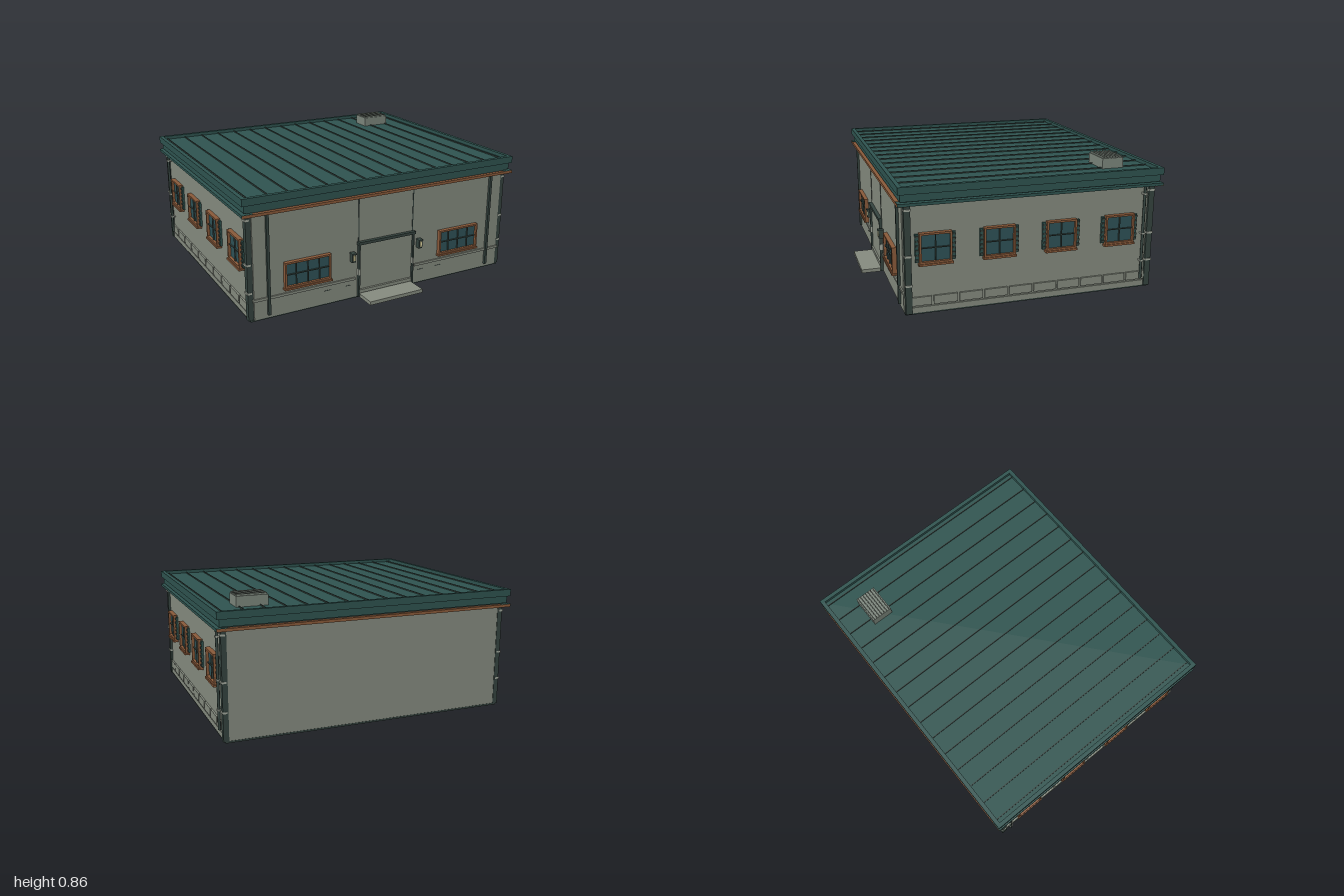
import * as THREE from 'three';

const mat = (color) => new THREE.MeshStandardMaterial({ color });
const M = {
  wall: mat(0x868c80), teal: mat(0x2f5450), dark: mat(0x35443f), copper: mat(0x8a5a3a),
  glass: mat(0x2f5358), pale: mat(0xa4aa9e), lamp: mat(0xeadfa8), vent: mat(0x7d877d),
};

// Box from its extents: [x0, x1], [y0, y1], [z0, z1]; order within a pair is free
function box(parent, name, m, x, y, z) {
  const size = [x, y, z].map(([a, b]) => Math.abs(b - a));
  const mesh = new THREE.Mesh(new THREE.BoxGeometry(...size), m);
  mesh.position.set(...[x, y, z].map(([a, b]) => (a + b) / 2));
  mesh.name = name;
  parent.add(mesh);
  return mesh;
}

function group(parent, name) {
  const g = new THREE.Group();
  g.name = name;
  parent.add(g);
  return g;
}

// Rectangular frame in the local XY plane, centred on the origin
function frame(parent, name, m, w, h, t, z) {
  for (const s of [-1, 1]) {
    box(parent, name, m, [s * w / 2, s * (w / 2 - t)], [-h / 2, h / 2], z);
    box(parent, name, m, [-w / 2 + t, w / 2 - t], [s * h / 2, s * (h / 2 - t)], z);
  }
}

// Window facing +z in its own space
function makeWindow(name, w, h, cols, depth) {
  const g = new THREE.Group();
  g.name = name;
  box(g, 'glass', M.glass, [-w / 2 + 0.01, w / 2 - 0.01], [-h / 2 + 0.01, h / 2 - 0.01], [-0.005, depth * 0.4]);
  frame(g, 'windowFrame', M.copper, w, h, 0.012, [0, depth]);
  for (let i = 1; i < cols; i++) {
    const x = -w / 2 + w * i / cols;
    box(g, 'mullion', M.dark, [x - 0.003, x + 0.003], [-h / 2 + 0.012, h / 2 - 0.012], [0, depth * 0.7]);
  }
  box(g, 'crossbar', M.dark, [-w / 2 + 0.012, w / 2 - 0.012], [-0.003, 0.003], [0, depth * 0.7]);
  box(g, 'sill', M.copper, [-w / 2 - 0.006, w / 2 + 0.006], [-h / 2 - 0.012, -h / 2], [0, depth + 0.006]);
  return g;
}

// Slatted shutter beside a side window
function addShutter(parent, x, h) {
  const g = group(parent, 'shutter');
  box(g, 'shutterPanel', M.teal, [x - 0.011, x + 0.011], [-h / 2, h / 2], [0, 0.012]);
  for (let i = 0; i < 6; i++) {
    const y = -h / 2 + h * (i + 0.5) / 6;
    box(g, 'shutterSlat', M.dark, [x - 0.011, x + 0.011], [y - 0.006, y + 0.006], [0.012, 0.018]);
  }
}

function addFront(root) {
  const g = group(root, 'front');
  box(g, 'facade', M.wall, [-0.93, 0.93], [0.01, 0.7], [0.75, 0.765]);
  box(g, 'door', M.wall, [-0.2, 0.2], [0.06, 0.375], [0.76, 0.771]);
  box(g, 'threshold', M.wall, [-0.2, 0.2], [0.035, 0.058], [0.76, 0.782]);
  box(g, 'lintel', M.dark, [-0.218, 0.218], [0.374, 0.393], [0.76, 0.79]);
  box(g, 'step', M.wall, [-0.2, 0.2], [0.006, 0.03], [0.75, 0.915]);

  for (const s of [-1, 1]) {
    box(g, 'doorJamb', M.dark, [s * 0.2, s * 0.212], [0.012, 0.375], [0.76, 0.785]);
    box(g, 'doorHinge', M.pale, [s * 0.2, s * 0.214], [0.165, 0.205], [0.76, 0.787]);
    box(g, 'panelSeam', M.dark, [s * 0.202, s * 0.208], [0.393, 0.69], [0.76, 0.768]);
    box(g, 'wallPilaster', M.dark, [s * 0.826, s * 0.844], [0.03, 0.69], [0.76, 0.782]);
    box(g, 'wallBand', M.wall, [s * 0.23, s * 0.94], [0.133, 0.15], [0.76, 0.774]);
    box(g, 'lowerSeam', M.dark, [s * 0.26, s * 0.3], [0.098, 0.101], [0.76, 0.767]);
    box(g, 'lowerSeam', M.dark, [s * 0.4, s * 0.45], [0.098, 0.101], [0.76, 0.767]);

    const win = makeWindow('frontWindow', 0.318, 0.17, 4, 0.028);
    win.position.set(s * 0.573, 0.273, 0.765);
    g.add(win);

    // Wall lamp beside the door
    const lamp = group(g, 'wallLamp');
    box(lamp, 'lampHousing', M.dark, [s * 0.241, s * 0.268], [0.268, 0.328], [0.76, 0.798]);
    box(lamp, 'lampGlow', M.lamp, [s * 0.249, s * 0.26], [0.28, 0.316], [0.79, 0.803]);
    box(lamp, 'lampCap', M.dark, [s * 0.238, s * 0.271], [0.322, 0.33], [0.76, 0.804]);
  }
}

function addSide(root, s) {
  const g = group(root, s > 0 ? 'leftSide' : 'rightSide');
  box(g, 'baseboard', M.wall, [s * 0.94, s * 0.958], [0.01, 0.045], [-0.85, 0.74]);
  for (let i = 0; i < 10; i++) {
    const z = 0.745 - i * 0.161;
    box(g, 'skirtPanel', M.wall, [s * 0.94, s * 0.962], [0.056, 0.11], [z - 0.148, z]);
  }

  for (const z of [0.57, 0.17, -0.235, -0.635]) {
    const win = makeWindow('sideWindow', 0.2, 0.19, 2, 0.03);
    addShutter(win, -0.113, 0.175);
    addShutter(win, 0.113, 0.175);
    win.position.set(s * 0.95, 0.42, z);
    win.rotation.y = s * Math.PI / 2;
    g.add(win);
  }

  // Corner posts with clamps
  for (const [z0, z1] of [[0.718, 0.758], [-0.873, -0.833]]) {
    box(g, 'cornerPost', M.dark, [s * 0.932, s * 0.966], [0.008, 0.71], [z0, z1]);
    for (const y of [0.19, 0.375, 0.66])
      box(g, 'postClamp', M.pale, [s * 0.94, s * 0.972], [y - 0.006, y + 0.006], [z0 - 0.002, z1 + 0.002]);
  }

  // Drainpipe
  const pipe = new THREE.Mesh(new THREE.CylinderGeometry(0.009, 0.009, 0.63, 10), M.dark);
  pipe.name = 'drainpipe';
  pipe.position.set(s * 0.972, 0.38, -0.802);
  g.add(pipe);
  for (const y of [0.19, 0.375, 0.64])
    box(g, 'pipeBracket', M.pale, [s * 0.94, s * 0.984], [y - 0.005, y + 0.005], [-0.815, -0.789]);
}

function addRoof(root) {
  const g = group(root, 'roof');
  const zb = -0.915, zf = 0.795;
  box(g, 'roofSlab', M.teal, [-0.98, 0.98], [0.715, 0.785], [zb + 0.015, zf - 0.015]);

  // Raised edge and eave trim
  for (const s of [-1, 1]) {
    box(g, 'sideParapet', M.teal, [s * 0.97, s * 0.997], [0.762, 0.808], [zb, zf]);
    box(g, 'sideEaveTrim', M.teal, [s * 0.93, s], [0.692, 0.71], [zb, zf + 0.003]);
    const [z0, z1] = s > 0 ? [zf - 0.027, zf] : [zb, zb + 0.027];
    box(g, 'endParapet', M.teal, [-0.97, 0.97], [0.762, 0.808], [z0, z1]);
    const [t0, t1] = s > 0 ? [0.74, zf + 0.005] : [zb - 0.002, -0.86];
    box(g, 'endEaveTrim', M.copper, [-0.998, 0.998], [0.69, 0.708], [t0, t1]);
  }
  box(g, 'soffit', M.dark, [-0.965, 0.965], [0.698, 0.72], [-0.89, 0.775]);

  // Standing seams
  for (let k = -7; k <= 7; k++)
    box(g, 'roofSeam', M.dark, [k * 0.1345 - 0.003, k * 0.1345 + 0.003], [0.78, 0.793], [zb + 0.027, zf - 0.027]);

  // Roof vent with slats
  const vent = group(g, 'roofVent');
  box(vent, 'ventBody', M.vent, [0.622, 0.825], [0.78, 0.852], [-0.713, -0.568]);
  for (let i = 0; i < 7; i++) {
    const z = -0.702 + i * 0.0205;
    box(vent, 'ventSlat', M.vent, [0.627, 0.82], [0.85, 0.862], [z - 0.003, z + 0.003]);
  }
}

export function createModel() {
  const root = new THREE.Group();
  root.name = 'building';
  box(root, 'walls', M.wall, [-0.95, 0.95], [0.008, 0.71], [-0.87, 0.755]);
  box(root, 'foundation', M.dark, [-0.955, 0.955], [0, 0.012], [-0.872, 0.76]);
  addFront(root);
  addSide(root, 1);
  addSide(root, -1);
  addRoof(root);
  return root;
}
